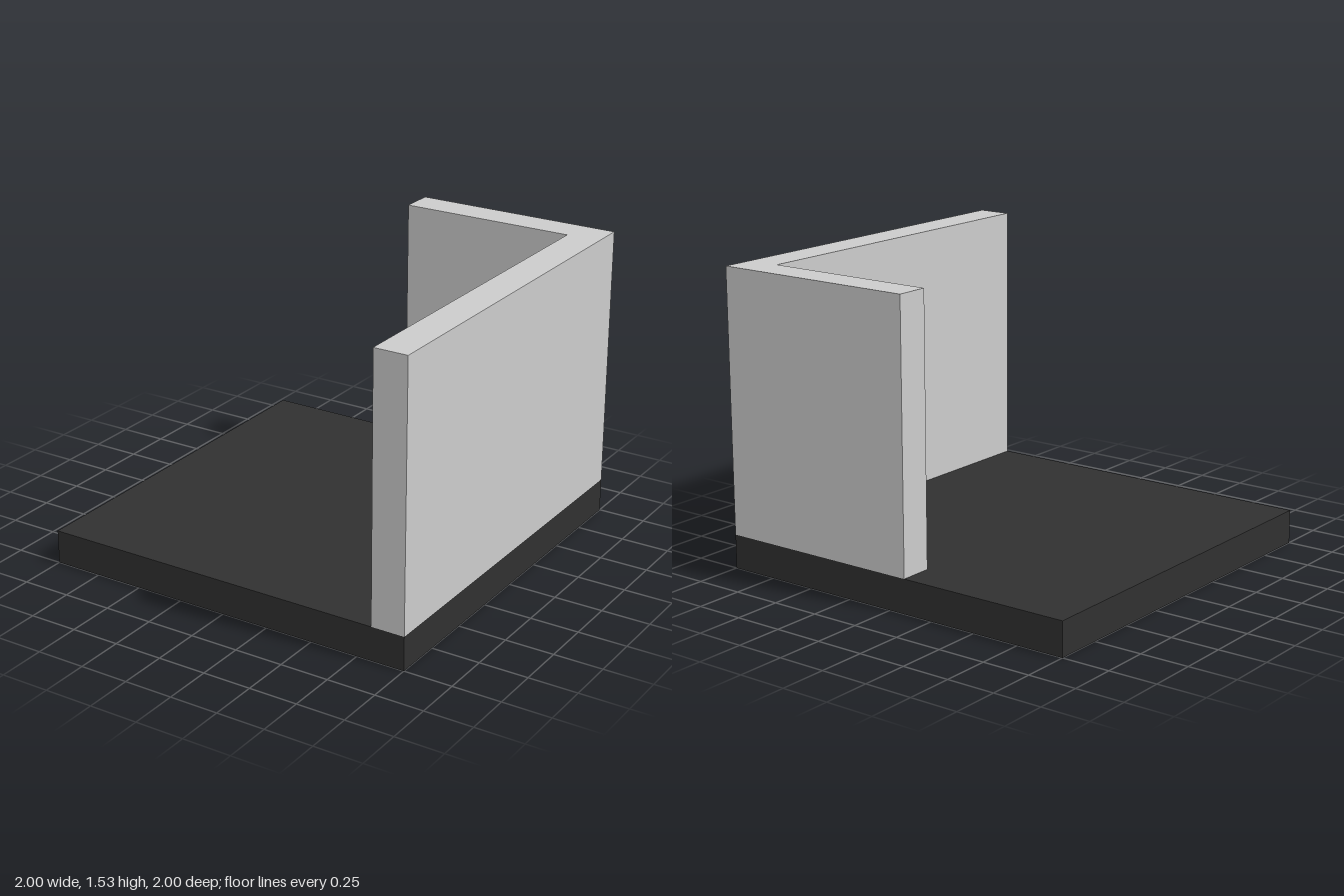
import * as THREE from 'three';

const BASE_TOP = 0.175;
const WALL_TOP = 1.53;

export function createModel() {
  const model = new THREE.Group();
  model.name = 'cornerWallOnFloor';

  // Square dark floor slab
  const floor = new THREE.Mesh(
    new THREE.BoxGeometry(2, BASE_TOP, 2),
    new THREE.MeshStandardMaterial({ color: 0x303030 })
  );
  floor.name = 'floorSlab';
  floor.position.y = BASE_TOP / 2;
  model.add(floor);

  // L-shaped wall: plan outline (x, -z) extruded upwards
  const plan = new THREE.Shape([
    [-0.09, 1], [-0.09, 0.83], [0.825, 0.83], [0.825, -1], [1, -1], [1, 1],
  ].map(([x, y]) => new THREE.Vector2(x, y)));
  const wallGeometry = new THREE.ExtrudeGeometry(plan, {
    depth: WALL_TOP - BASE_TOP,
    bevelEnabled: false,
  });
  wallGeometry.rotateX(-Math.PI / 2);
  const wall = new THREE.Mesh(
    wallGeometry,
    new THREE.MeshStandardMaterial({ color: 0xcccccc })
  );
  wall.name = 'cornerWall';
  wall.position.y = BASE_TOP;
  model.add(wall);

  return model;
}
